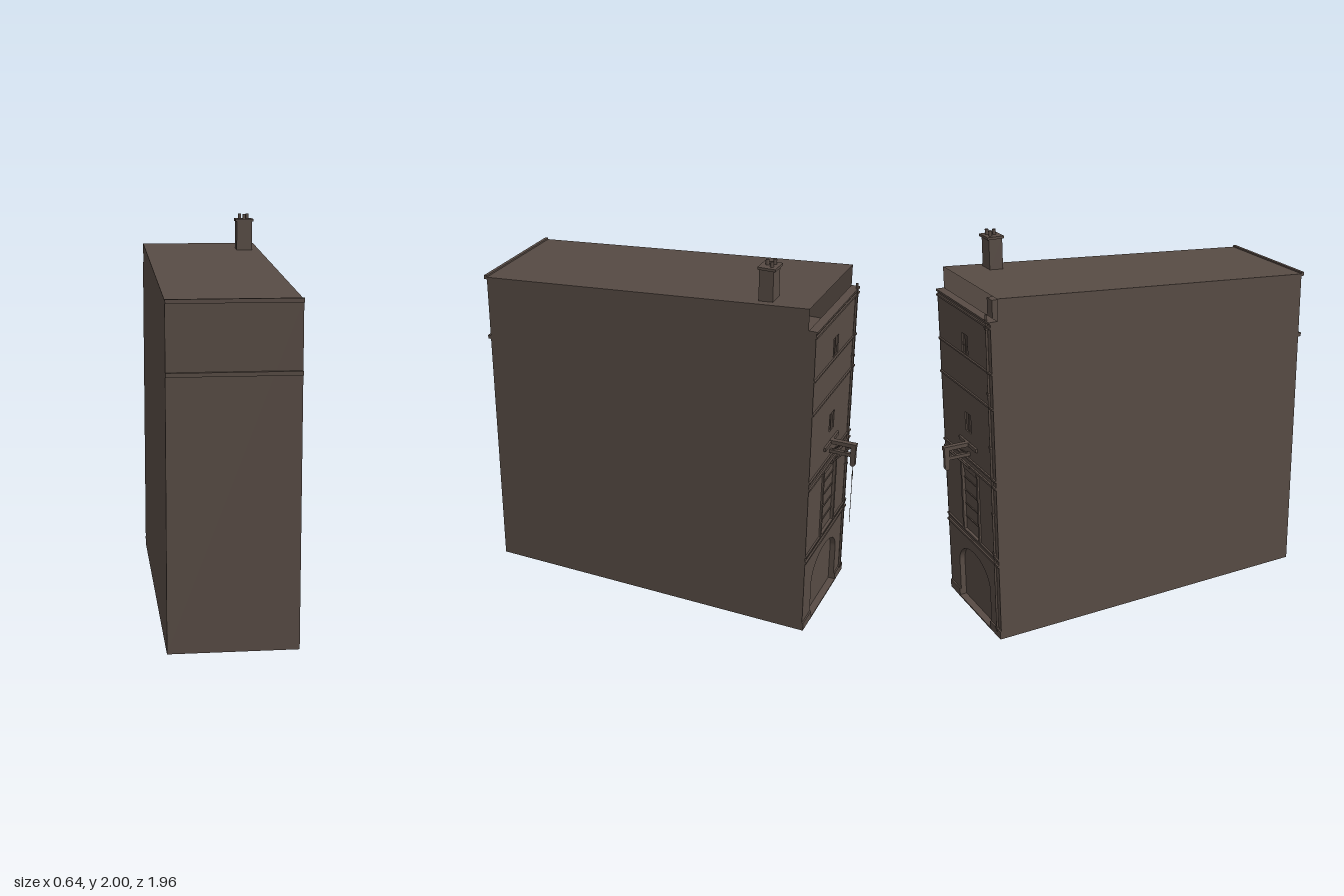
import * as THREE from 'three';

export function createModel() {
  const model = new THREE.Group();
  const brick = new THREE.MeshStandardMaterial({ color: 0x574b44, side: THREE.DoubleSide });
  brick.name = 'sootyBrown';

  const W = 0.32, FRONT = 0.965, FACADE = -0.843, ROOF_BACK = -0.805;

  const add = (name, geometry, parent = model) => {
    const mesh = new THREE.Mesh(geometry, brick);
    mesh.name = name;
    parent.add(mesh);
    return mesh;
  };
  const group = (name) => {
    const g = new THREE.Group();
    g.name = name;
    model.add(g);
    return g;
  };
  // Box given by its low and high limits
  const box = (name, x0, x1, y0, y1, z0, z1, parent) => add(name,
    new THREE.BoxGeometry(x1 - x0, y1 - y0, z1 - z0)
      .translate((x0 + x1) / 2, (y0 + y1) / 2, (z0 + z1) / 2), parent);
  // Round bar between two points
  const bar = (name, a, b, r, parent, sides = 8) => {
    const p = new THREE.Vector3(...a), q = new THREE.Vector3(...b);
    const mesh = add(name, new THREE.CylinderGeometry(r, r, p.distanceTo(q), sides), parent);
    mesh.position.copy(p).add(q).multiplyScalar(0.5);
    mesh.quaternion.setFromUnitVectors(new THREE.Vector3(0, 1, 0), q.sub(p).normalize());
    return mesh;
  };

  // Side walls, open at the bottom and stepped down behind the parapet
  const profile = new THREE.Shape([
    [FRONT, 0], [FRONT, 1.69], [ROOF_BACK, 1.82], [ROOF_BACK, 1.71], [FACADE, 1.71], [FACADE, 0],
  ].map(([z, y]) => new THREE.Vector2(z, y)));
  for (const s of [-1, 1]) {
    add(s > 0 ? 'leftWall' : 'rightWall',
      new THREE.ShapeGeometry(profile).rotateY(-Math.PI / 2).translate(s * W, 0, 0));
  }

  // Plain front wall with two string courses
  add('frontWall', new THREE.PlaneGeometry(2 * W, 1.69).translate(0, 0.845, FRONT));
  for (const y of [1.35, 1.688]) box('frontCourse', -W, W, y - 0.01, y + 0.01, FRONT, 0.982);

  // Sloping roof and the attic floor below it
  const run = FRONT - ROOF_BACK, rise = 0.13;
  add('roof', new THREE.PlaneGeometry(2 * W, Math.hypot(run, rise))
    .rotateX(-Math.PI / 2).rotateX(Math.atan2(rise, run))
    .translate(0, 1.755, (FRONT + ROOF_BACK) / 2));
  add('atticFloor', new THREE.PlaneGeometry(2 * W, FRONT - FACADE - 0.01)
    .rotateX(-Math.PI / 2).translate(0, 1.5, (FRONT + FACADE) / 2));

  // Chimney with a cap and three pots
  const chimney = group('chimney');
  box('stack', 0.193, 0.28, 1.8, 1.965, -0.605, -0.532, chimney);
  box('cap', 0.186, 0.287, 1.96, 1.973, -0.615, -0.525, chimney);
  box('lowerStack', 0.205, 0.268, 1.5, 1.64, -0.595, -0.542, chimney);
  for (const [x, z] of [[0.215, -0.587], [0.257, -0.587], [0.236, -0.556]]) {
    bar('pot', [x, 1.97, z], [x, 2, z], 0.009, chimney, 12);
  }

  // Rear facade: arched entrance and loft door cut through the wall
  const facade = group('facade');
  const wall = new THREE.Shape();
  wall.moveTo(-W + 0.001, 0);
  wall.lineTo(-0.195, 0);
  wall.lineTo(-0.195, 0.22);
  wall.absellipse(0, 0.22, 0.195, 0.13, Math.PI, 0, true);
  wall.lineTo(0.195, 0);
  wall.lineTo(W - 0.001, 0);
  wall.lineTo(W - 0.001, 1.71);
  wall.lineTo(-W + 0.001, 1.71);
  const opening = (x, y0, y1) => wall.holes.push(new THREE.Path(
    [[-x, y0], [-x, y1], [x, y1], [x, y0]].map((p) => new THREE.Vector2(...p))));
  opening(0.09, 0.46, 0.81);
  opening(0.035, 1.04, 1.14);
  opening(0.035, 1.46, 1.56);
  add('facadeWall', new THREE.ExtrudeGeometry(wall,
    { depth: 0.036, bevelEnabled: false, curveSegments: 24 }).translate(0, 0, FACADE + 0.002), facade);

  // Infill set back within the openings
  box('archDoor', -0.2, 0.2, 0, 0.36, -0.812, -0.806, facade);
  box('loftDoor', -0.095, 0.095, 0.455, 0.815, -0.834, -0.828, facade);
  for (const y of [1.09, 1.51]) {
    box('window', -0.036, 0.036, y - 0.051, y + 0.051, -0.834, -0.828, facade);
    box('glazingBar', -0.003, 0.003, y - 0.05, y + 0.05, -0.838, -0.833, facade);
  }
  for (let i = 0; i < 4; i++) {
    const y = 0.53 + i * 0.075;
    box('doorBatten', -0.088, 0.088, y, y + 0.006, -0.839, -0.833, facade);
  }
  for (const s of [-1, 1]) {
    const x = s * 0.098;
    box('loftJamb', x - 0.009, x + 0.009, 0.45, 0.84, -0.85, -0.838, facade);
    const c = s * 0.2575;
    box('plinth', c - 0.0625, c + 0.0625, 0, 0.045, -0.849, -0.838, facade);
  }
  box('threshold', -0.21, 0.21, 0, 0.008, -0.85, -0.8, facade);

  // String courses and coping
  for (const [y, h] of [[0.42, 0.012], [0.455, 0.01], [0.85, 0.012], [0.89, 0.01],
    [1.27, 0.01], [1.45, 0.008], [1.68, 0.01], [1.705, 0.01]]) {
    box('facadeCourse', -W, W, y - h / 2, y + h / 2, -0.85, -0.838, facade);
  }

  // Downpipe with brackets
  const pipe = group('downpipe');
  bar('pipe', [-0.28, 0.03, -0.846], [-0.28, 1.74, -0.846], 0.006, pipe, 10);
  for (const y of [0.05, 0.48, 0.7, 1.06, 1.34, 1.67]) {
    box('bracket', -0.291, -0.269, y - 0.006, y + 0.006, -0.854, -0.838, pipe);
  }

  // Hoist: two beams, braces, pulley block and rope
  const hoist = group('hoist');
  box('wallPlate', -0.105, 0.105, 0.965, 0.985, -0.852, -0.838, hoist);
  box('topBeam', -0.014, 0.014, 0.966, 0.987, -0.982, -0.84, hoist);
  box('lowerBeam', -0.01, 0.01, 0.912, 0.93, -0.968, -0.84, hoist);
  bar('longBrace', [0, 0.84, -0.843], [0, 0.968, -0.955], 0.005, hoist);
  bar('shortBrace', [0, 0.918, -0.843], [0, 0.966, -0.9], 0.004, hoist);
  box('pulleyBlock', -0.011, 0.011, 0.872, 0.968, -0.98, -0.954, hoist);
  bar('pulley', [-0.009, 0.872, -0.967], [0.009, 0.872, -0.967], 0.014, hoist, 16);
  bar('rope', [0, 0.52, -0.968], [0, 0.87, -0.968], 0.0015, hoist, 6);
  bar('hook', [0, 0.78, -0.968], [0, 0.83, -0.968], 0.003, hoist, 6);

  return model;
}
